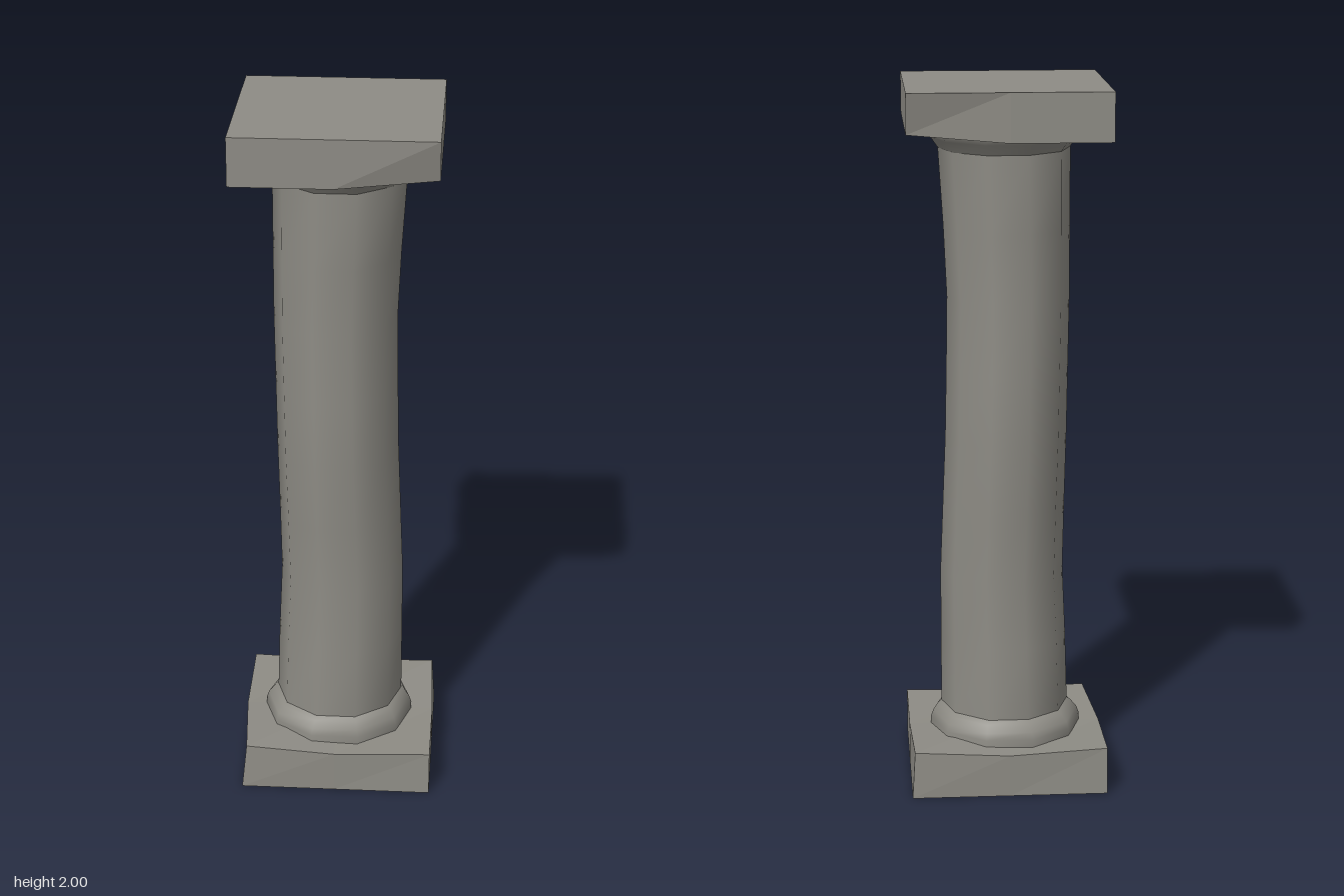
import * as THREE from 'three';

const SIDES = 10;

// Smooth tube through rings of [y, xMin, xMax, zRadius]
function loft(rings) {
  const pos = [], idx = [];
  for (const [y, x0, x1, rz] of rings) {
    for (let i = 0; i < SIDES; i++) {
      const a = (i / SIDES) * Math.PI * 2;
      pos.push((x0 + x1) / 2 + Math.cos(a) * (x1 - x0) / 2, y, Math.sin(a) * rz);
    }
  }
  for (let r = 0; r < rings.length - 1; r++) {
    for (let i = 0; i < SIDES; i++) {
      const a = r * SIDES + i, b = r * SIDES + (i + 1) % SIDES;
      idx.push(a, a + SIDES, b, b, a + SIDES, b + SIDES);
    }
  }
  const g = new THREE.BufferGeometry();
  g.setAttribute('position', new THREE.Float32BufferAttribute(pos, 3));
  g.setIndex(idx);
  g.computeVertexNormals();
  return g;
}

// Worn slab: a box whose vertices on one face are moved by a rule
function slab(y0, y1, move) {
  const box = new THREE.BoxGeometry(0.556, y1 - y0, 0.53, 2, 1, 2);
  box.translate(0, (y0 + y1) / 2, 0);
  const g = box.toNonIndexed();
  const p = g.attributes.position;
  const v = new THREE.Vector3();
  for (let i = 0; i < p.count; i++) {
    v.fromBufferAttribute(p, i);
    move(v, Math.sign(Math.round(v.x * 100)), Math.sign(Math.round(v.z * 100)));
    p.setXYZ(i, v.x, v.y, v.z);
  }
  g.computeVertexNormals();
  return g;
}

export function createModel() {
  const stone = new THREE.MeshStandardMaterial({ color: 0x8e8c85 });
  stone.name = 'grey stone';
  const group = new THREE.Group();
  group.name = 'column';
  const add = (name, geometry) => {
    const mesh = new THREE.Mesh(geometry, stone);
    mesh.name = name;
    group.add(mesh);
  };

  // Plinth: top sags between the corners, which are chipped inward
  add('plinth', slab(0, 0.135, (v, sx, sz) => {
    if (v.y < 0.1) {
      if (sx < 0 && sz > 0) v.x += 0.008;
      return;
    }
    if (sx === 0 || sz === 0) v.y = sx === 0 && sz === 0 ? 0.13 : 0.122;
    if (sx < 0 && sz > 0) v.x += 0.022;
    if (sx > 0 && sz > 0) v.y = 0.128;
    if (sx !== 0 && sz !== 0) v.z -= sz * 0.007;
    if (sx > 0 && sz < 0) v.x -= 0.008;
  }));

  // Top slab: underside corners on the left are worn away
  add('topSlab', slab(1.865, 2, (v, sx, sz) => {
    if (v.y > 1.95) return;
    if (sx > 0 && sz !== 0) {
      v.y = 1.887;
      v.z -= sz * 0.022;
    } else if (sx > 0) v.y = 1.885;
  }));

  // Rounded moulding at the foot
  add('baseMoulding', loft([
    [0.11, -0.22, 0.215, 0.217],
    [0.145, -0.22, 0.215, 0.217],
    [0.165, -0.213, 0.208, 0.211],
    [0.185, -0.196, 0.196, 0.196],
    [0.196, -0.182, 0.184, 0.182],
  ]));

  // Shaft, slightly bowed and worn
  add('shaft', loft([
    [0.17, -0.185, 0.184, 0.184],
    [0.4, -0.178, 0.184, 0.176],
    [0.6, -0.169, 0.184, 0.169],
    [0.8, -0.173, 0.176, 0.176],
    [1.0, -0.178, 0.168, 0.184],
    [1.2, -0.181, 0.164, 0.184],
    [1.4, -0.184, 0.161, 0.177],
    [1.6, -0.184, 0.17, 0.18],
    [1.82, -0.184, 0.184, 0.184],
  ]));

  // Flared neck below the top slab
  add('neckMoulding', loft([
    [1.82, -0.184, 0.184, 0.184],
    [1.85, -0.205, 0.205, 0.205],
    [1.868, -0.222, 0.222, 0.22],
    [1.89, -0.222, 0.222, 0.22],
  ]));

  return group;
}
